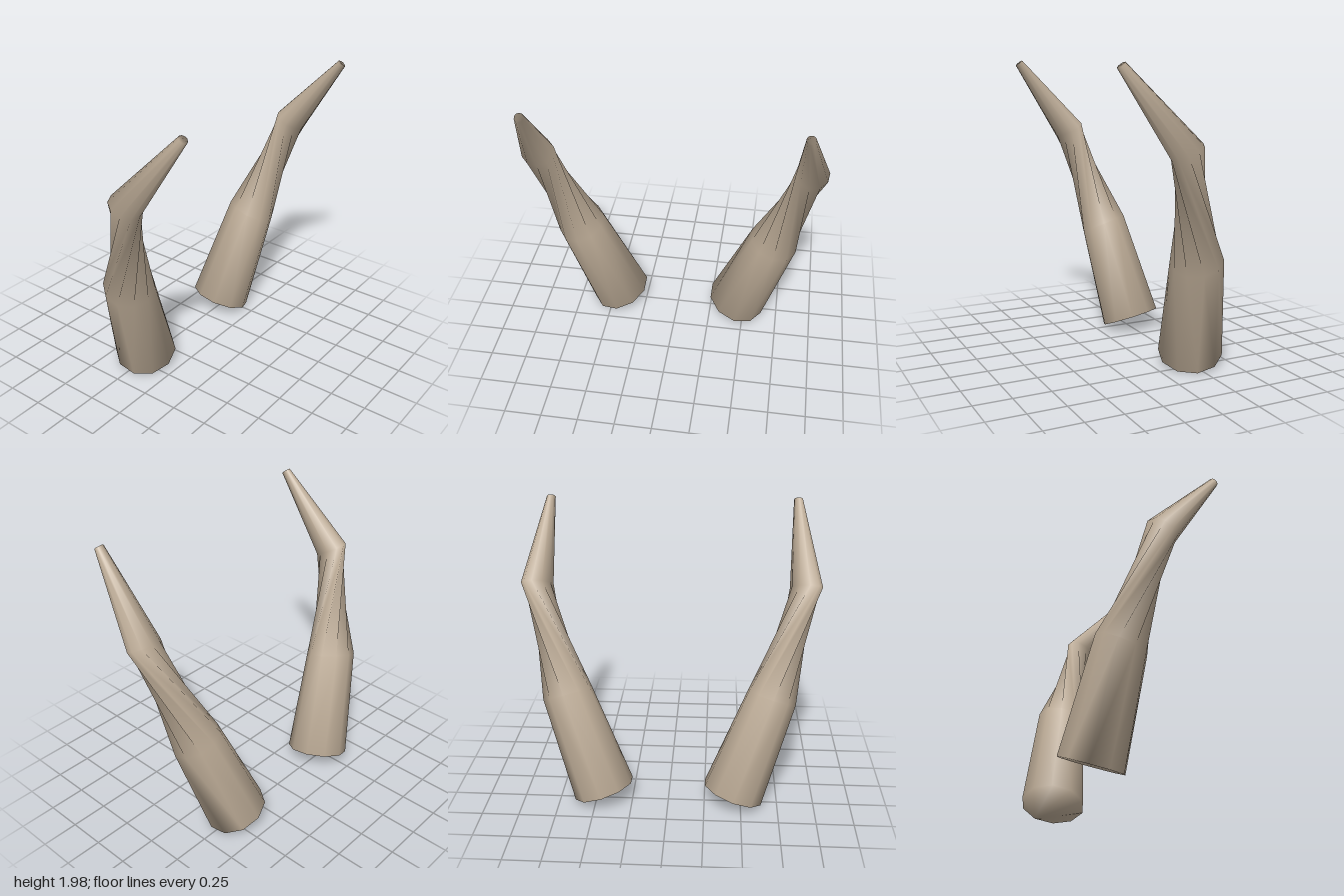
import * as THREE from 'three';

const SIDES = 10;

// Cross-sections of the left horn: centre, radius, plane normal, twist in degrees
const RINGS = [
  { c: [0.445, 0.077, -0.255], r: 0.212, n: [0.35, 1, 0.18], twist: 0 },
  { c: [0.69, 0.76, -0.15], r: 0.17, n: [0.31, 1, 0.31], twist: 0 },
  { c: [0.893, 1.47, 0.045], r: 0.108, n: [0, 1, 0.53], twist: -80 },
  { c: [0.845, 1.965, 0.445], r: 0.03, n: [0, 1, 0.78], twist: -80 },
];

// Closed loft through the rings; side = 1 for left, -1 for the mirrored right
function hornGeometry(side) {
  const positions = [];
  const index = [];
  const face = (a, b, c) => (side > 0 ? index.push(a, b, c) : index.push(a, c, b));

  for (const ring of RINGS) {
    const n = new THREE.Vector3(...ring.n).normalize();
    const u = new THREE.Vector3(1, 0, 0).addScaledVector(n, -n.x).normalize();
    const v = n.clone().cross(u);
    for (let k = 0; k < SIDES; k++) {
      const a = THREE.MathUtils.degToRad(18 + (360 / SIDES) * k + ring.twist);
      const p = new THREE.Vector3(...ring.c)
        .addScaledVector(u, ring.r * Math.cos(a))
        .addScaledVector(v, ring.r * Math.sin(a));
      positions.push(p.x * side, p.y, p.z);
    }
  }

  // Side walls
  for (let i = 0; i < RINGS.length - 1; i++) {
    for (let k = 0; k < SIDES; k++) {
      const next = (k + 1) % SIDES;
      const low = i * SIDES;
      const high = low + SIDES;
      face(low + k, low + next, high + k);
      face(low + next, high + next, high + k);
    }
  }

  // Base and tip caps share the rim points, so the shading rolls over the edge
  const top = (RINGS.length - 1) * SIDES;
  for (let k = 1; k < SIDES - 1; k++) {
    face(0, k + 1, k);
    face(top, top + k, top + k + 1);
  }

  const geometry = new THREE.BufferGeometry();
  geometry.setAttribute('position', new THREE.Float32BufferAttribute(positions, 3));
  geometry.setIndex(index);
  geometry.computeVertexNormals();
  return geometry;
}

export function createModel() {
  const model = new THREE.Group();
  model.name = 'hornPair';

  const horn = new THREE.MeshStandardMaterial({ color: 0xbcab96 });
  horn.name = 'horn';

  for (const [name, side] of [['leftHorn', 1], ['rightHorn', -1]]) {
    const mesh = new THREE.Mesh(hornGeometry(side), horn);
    mesh.name = name;
    model.add(mesh);
  }
  return model;
}
